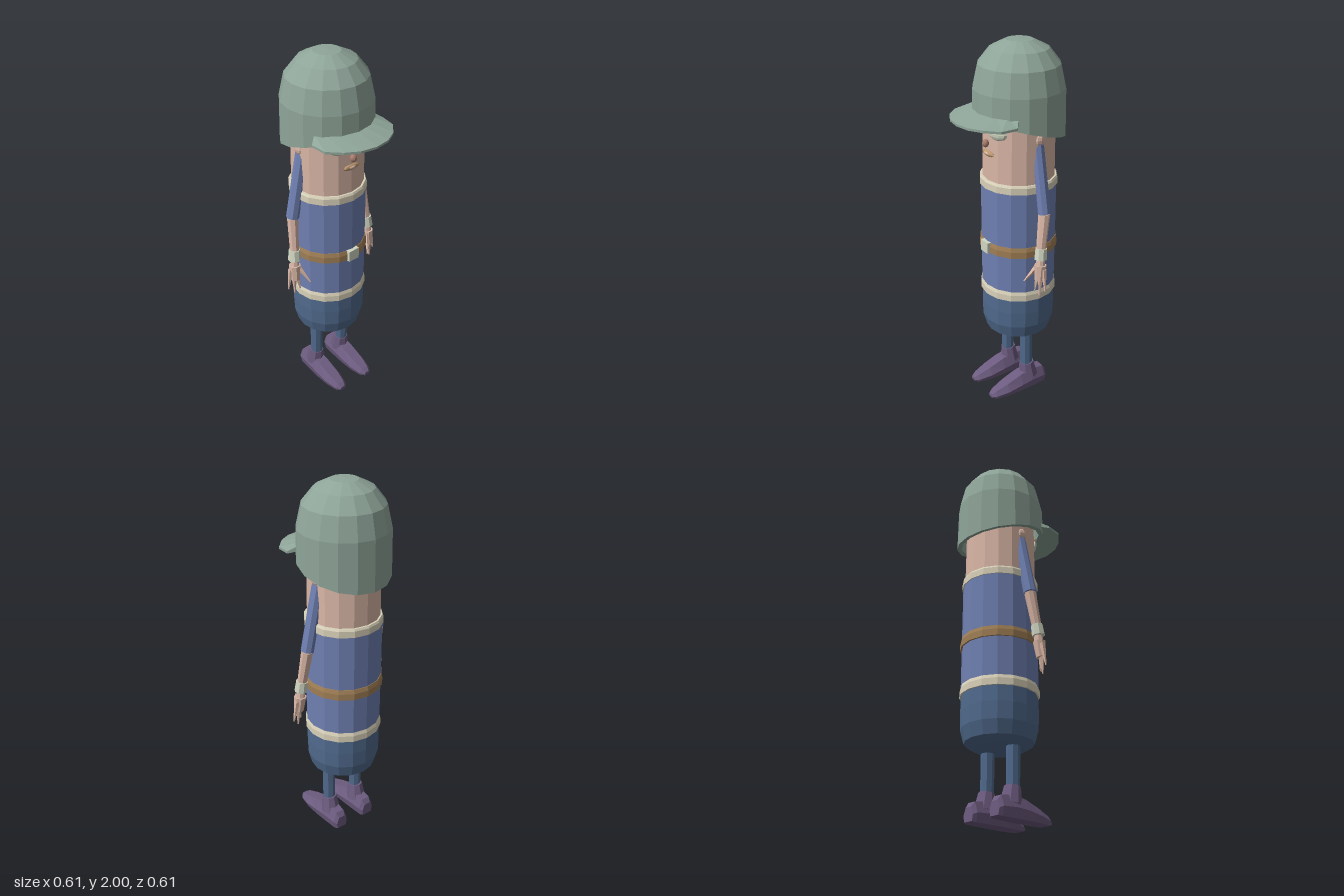
import * as THREE from 'three';

const mat = (name, color, side = THREE.FrontSide) =>
  Object.assign(new THREE.MeshStandardMaterial({ color, flatShading: true, side }), { name });

// Skin a row of equal rings, closing both ends
function loft(sections) {
  const n = sections[0].length, m = sections.length, index = [];
  for (let i = 0; i < m - 1; i++)
    for (let j = 0; j < n; j++) {
      const k = (j + 1) % n, a = i * n + j, b = i * n + k;
      index.push(a, b, b + n, a, b + n, a + n);
    }
  const e = (m - 1) * n;
  for (let j = 1; j < n - 1; j++) index.push(0, j + 1, j, e, e + j, e + j + 1);
  const g = new THREE.BufferGeometry();
  g.setAttribute('position', new THREE.Float32BufferAttribute(sections.flat(2), 3));
  g.setIndex(index);
  g.computeVertexNormals();
  return g;
}

export function createModel() {
  const model = new THREE.Group();
  model.name = 'helmetedFigure';
  const helmetGreen = mat('helmet green', 0x8fa599, THREE.DoubleSide);
  const skin = mat('skin', 0xdab7a7);
  const blue = mat('shirt blue', 0x6f80b2);
  const navy = mat('trouser blue', 0x506a8d);
  const cream = mat('cream trim', 0xdad2ba);
  const leather = mat('leather brown', 0xa07f55);
  const purple = mat('shoe purple', 0x6d5c80);
  const pale = mat('pale green', 0xd0d6c2);
  const noseTone = mat('nose brown', 0xa97d6d);
  const lipTone = mat('lip tan', 0xba966c);
  const Z = -0.062; // body axis

  const add = (name, geo, material, x = 0, y = 0, z = 0) => {
    const m = new THREE.Mesh(geo, material);
    m.name = name;
    m.position.set(x, y, z);
    model.add(m);
    return m;
  };
  const lathe = (pts) => new THREE.LatheGeometry(pts.map(p => new THREE.Vector2(...p)), 16);
  // Tapered tube from point a to point b
  const limb = (name, material, a, b, ra, rb, sides = 8) => {
    const A = new THREE.Vector3(...a), B = new THREE.Vector3(...b), d = B.clone().sub(A);
    const m = add(name, new THREE.CylinderGeometry(rb, ra, d.length(), sides), material);
    m.position.copy(A).add(B).multiplyScalar(0.5);
    m.quaternion.setFromUnitVectors(new THREE.Vector3(0, 1, 0), d.normalize());
    return m;
  };
  const ball = (name, material, p, s) => {
    const m = add(name, new THREE.SphereGeometry(1, 10, 8), material, ...p);
    m.scale.set(...s);
    return m;
  };

  // Torso and head, stacked on one axis
  add('trousers', lathe([[0, 0.36], [0.13, 0.36], [0.178, 0.39], [0.197, 0.46], [0.2, 0.55], [0.197, 0.65]]), navy, 0, 0, Z);
  add('shirt', new THREE.CylinderGeometry(0.2, 0.2, 0.63, 16), blue, 0, 0.965, Z);
  add('head', new THREE.CylinderGeometry(0.187, 0.19, 0.48, 16), skin, 0, 1.49, Z);
  const band = (name, material, y0, y1, r) =>
    add(name, lathe([[0.18, y0], [r, y0], [r, y0 + 0.035], [r - 0.006, y1], [0.18, y1]]), material, 0, 0, Z);
  band('collar', cream, 1.254, 1.3, 0.205);
  band('shirtHem', cream, 0.632, 0.686, 0.206);
  band('belt', leather, 0.895, 0.952, 0.209);
  add('buckle', new THREE.BoxGeometry(0.066, 0.062, 0.024), pale, 0, 0.923, 0.144);

  // Helmet with a rim that drops toward the back
  const shell = lathe([[0, 1.92], [0.14, 1.86], [0.205, 1.74], [0.215, 1.6], [0.24, 1.6], [0.236, 1.76],
    [0.209, 1.88], [0.15, 1.955], [0.07, 1.995], [0, 2]]);
  const p = shell.attributes.position;
  for (let i = 0; i < p.count; i++)
    if (p.getY(i) < 1.65) p.setY(i, 1.562 + p.getZ(i) * 0.28);
  add('helmet', shell, helmetGreen, 0, 0, Z);

  // Brim: inner arc on the helmet, outer arc sloping down
  const half = [[0, 0.304, 1.628], [0.085, 0.29, 1.628], [0.155, 0.25, 1.628], [0.215, 0.185, 1.626], [0.225, 0.1, 1.63]];
  const outer = [...half.slice(1).reverse().map(([x, z, y]) => [-x, z, y]), ...half];
  add('brim', loft(outer.map(([x, z, y], i) => {
    const a = (i - 4) / 4 * 0.96, ix = 0.226 * Math.sin(a), iz = Z + 0.226 * Math.cos(a);
    return [[ix, 1.662, iz], [x, y + 0.004, z], [x, y - 0.008, z], [ix, 1.635, iz]];
  })), helmetGreen);

  // Face
  ball('nose', noseTone, [0, 1.5, 0.139], [0.018, 0.021, 0.018]);
  ball('lips', lipTone, [0, 1.445, 0.125], [0.052, 0.016, 0.012]);
  ball('mouthCentre', skin, [0, 1.446, 0.134], [0.022, 0.008, 0.006]);

  for (const s of [1, -1]) {
    const side = s > 0 ? 'left' : 'right';
    const eye = ball(side + 'Eye', pale, [s * 0.072, 1.565, 0.112], [0.055, 0.036, 0.022]);
    const lid = ball(side + 'Eyelid', skin, [s * 0.072, 1.598, 0.11], [0.054, 0.02, 0.025]);
    eye.rotation.y = lid.rotation.y = s * 0.39;
    lid.rotation.z = s * -0.12;

    // Arm
    const shoulder = [s * 0.16, 1.5, -0.065], elbow = [s * 0.233, 1.15, -0.062], wrist = [s * 0.25, 0.95, -0.032];
    ball(side + 'Shoulder', skin, [s * 0.163, 1.53, -0.065], [0.035, 0.042, 0.036]);
    limb(side + 'Sleeve', blue, shoulder, elbow, 0.033, 0.034);
    limb(side + 'Forearm', skin, elbow, wrist, 0.031, 0.025);
    limb(side + 'Cuff', pale, [s * 0.25, 0.968, -0.034], [s * 0.255, 0.908, -0.028], 0.031, 0.034);
    limb(side + 'Wrist', skin, [s * 0.253, 0.92, -0.03], [s * 0.257, 0.86, -0.026], 0.02, 0.026);
    limb(side + 'Palm', skin, [s * 0.257, 0.875, -0.026], [s * 0.262, 0.79, -0.018], 0.033, 0.026);
    // Fingers: start and tip
    [[[0.28, 0.855, -0.03], [0.302, 0.735, -0.027]], [[0.268, 0.82, -0.022], [0.268, 0.7, -0.016]],
     [[0.255, 0.82, -0.012], [0.242, 0.725, -0.004]], [[0.24, 0.86, -0.016], [0.205, 0.775, 0.04]]]
      .forEach(([a, b], i) => limb(side + 'Finger' + (i + 1), skin,
        [s * a[0], a[1], a[2]], [s * b[0], b[1], b[2]], 0.016, 0.004, 5));

    // Leg and shoe
    const x = s * 0.094;
    limb(side + 'Leg', navy, [x, 0.12, -0.057], [x, 0.4, -0.055], 0.034, 0.036);
    limb(side + 'ShoeCollar', purple, [x, 0.07, -0.072], [x, 0.16, -0.06], 0.055, 0.041);
    // Shoe rings from heel to toe: z, half width, sole, top
    const rings = [[-0.175, 0.035, 0.005, 0.075], [-0.155, 0.046, 0, 0.102], [-0.07, 0.052, 0, 0.112],
      [0, 0.056, 0, 0.1], [0.09, 0.054, 0, 0.07], [0.16, 0.038, 0, 0.045], [0.185, 0.02, 0.008, 0.028]];
    add(side + 'Shoe', loft(rings.map(([z, w, y, top]) => {
      const mid = y + (top - y) * 0.45;
      return [[0.8 * w, y], [w, mid], [0.55 * w, top], [-0.55 * w, top], [-w, mid], [-0.8 * w, y]]
        .map(([dx, py]) => [x + dx, py, z]);
    })), purple);
  }
  return model;
}
